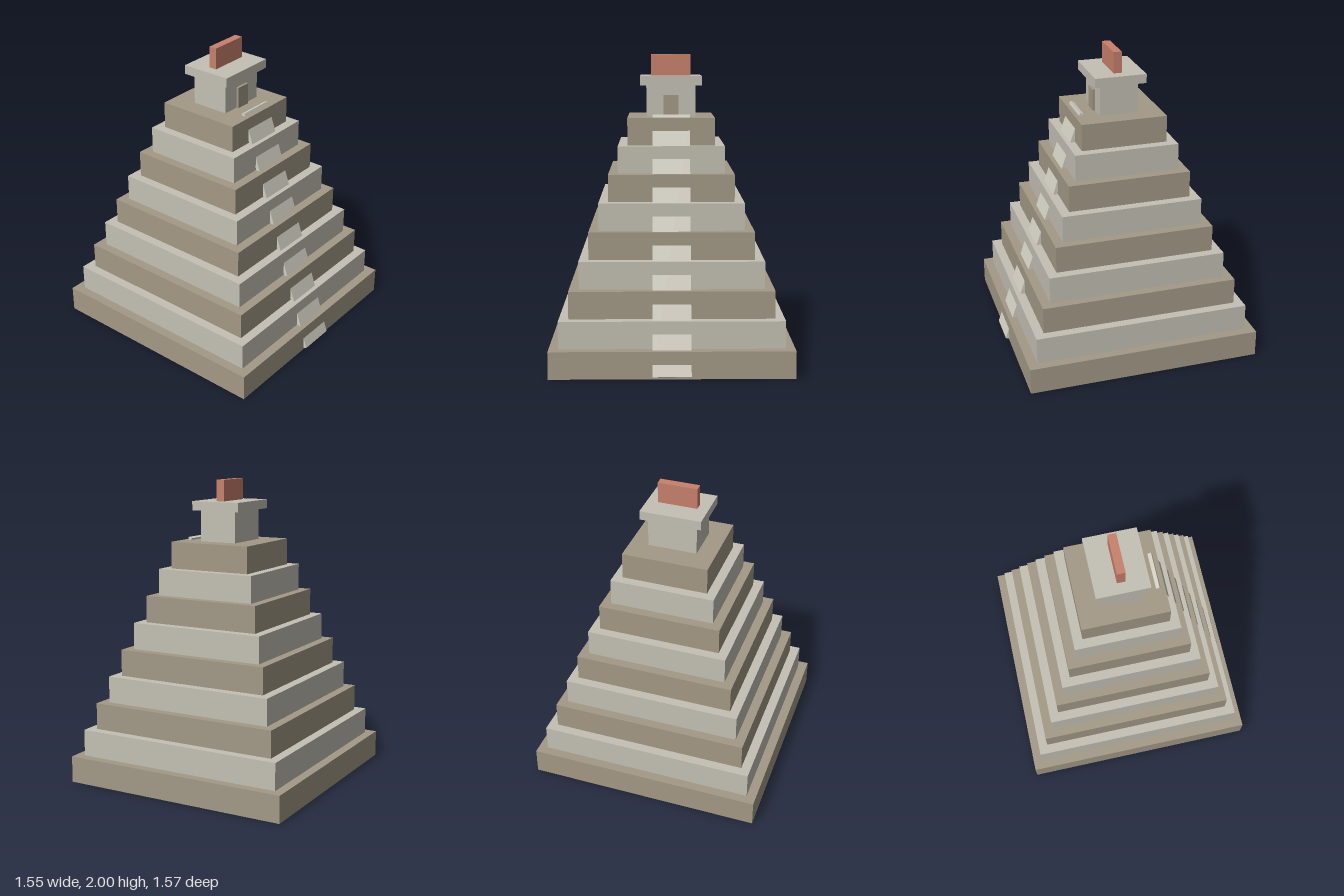
import * as THREE from 'three';

const mat = (name, color) => {
  const m = new THREE.MeshStandardMaterial({ color });
  m.name = name;
  return m;
};

export function createModel() {
  const model = new THREE.Group();
  model.name = 'steppedPyramid';

  const darkStone = mat('darkStone', 0xa39986);
  const paleStone = mat('paleStone', 0xc4c0b4);
  const stairStone = mat('stairStone', 0xd2cec2);
  const redPaint = mat('redPaint', 0xc8806c);

  const CZ = -0.0125; // pyramid centre, set back to leave room for the stair

  // Box standing on height y
  function block(name, w, h, d, y, material, z = CZ) {
    const mesh = new THREE.Mesh(new THREE.BoxGeometry(w, h, d), material);
    mesh.name = name;
    mesh.position.set(0, y + h / 2, z);
    model.add(mesh);
    return mesh;
  }

  // Nine tiers in alternating stone
  const TIERS = 9, TIER_H = 0.1771;
  for (let i = 0; i < TIERS; i++) {
    const w = 2 * (0.775 - i * 0.0613);
    block(`tier${i + 1}`, w, TIER_H, w, i * TIER_H, i % 2 ? paleStone : darkStone);
  }
  const top = TIERS * TIER_H;

  // Temple, doorway, roof slab and roof comb
  block('templeWalls', 0.325, 1.8 - top, 0.256, top, paleStone);
  block('doorway', 0.1, 0.142, 0.03, top, darkStone, 0.117);
  block('roofSlab', 0.406, 0.06, 0.342, 1.8, paleStone);
  block('roofComb', 0.262, 0.14, 0.054, 1.86, redPaint);

  // Sloping stair slab, partly sunk into the tiers
  const foot = new THREE.Vector3(0, 0.022, 0.787);
  const head = new THREE.Vector3(0, 1.613, 0.237);
  const thick = 0.025;
  const tilt = Math.atan2(foot.z - head.z, head.y - foot.y);
  const stair = block('stairway', 0.243, foot.distanceTo(head), thick, 0, stairStone);
  stair.rotation.x = -tilt;
  stair.position.copy(foot).add(head).multiplyScalar(0.5);
  stair.position.y -= Math.sin(tilt) * thick / 2;
  stair.position.z -= Math.cos(tilt) * thick / 2;

  return model;
}
